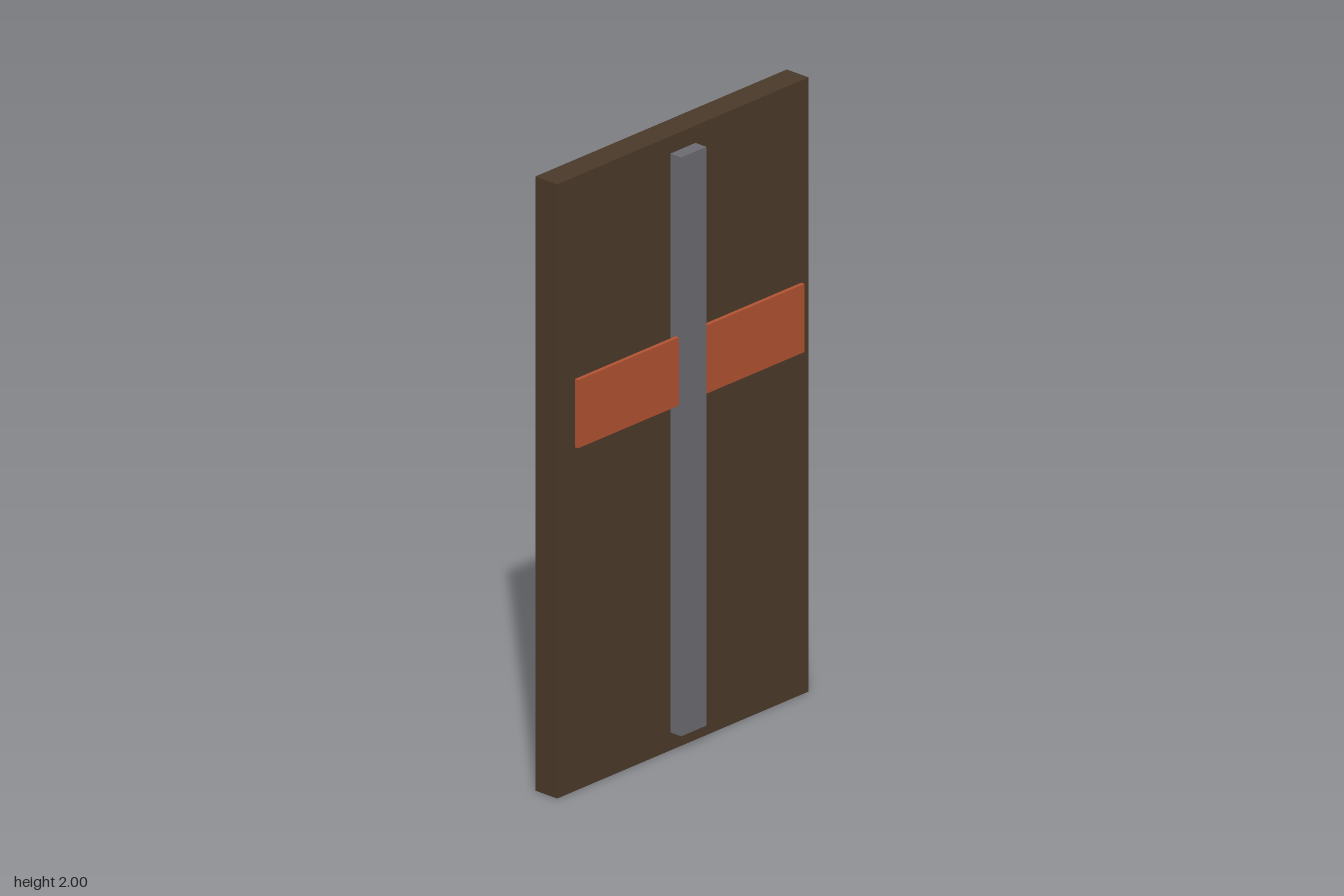
import * as THREE from 'three';

export function createModel() {
  const model = new THREE.Group();
  model.name = 'panelWithCross';

  const material = (name, color) => {
    const m = new THREE.MeshStandardMaterial({ color });
    m.name = name;
    return m;
  };
  const darkWood = material('dark wood', 0x4a3929);
  const greyMetal = material('grey metal', 0x6a6a70);
  const rustRed = material('rust red', 0xb05232);

  // Box given by its size and centre
  const addBox = (name, mat, [w, h, d], [x, y, z]) => {
    const mesh = new THREE.Mesh(new THREE.BoxGeometry(w, h, d), mat);
    mesh.name = name;
    mesh.position.set(x, y, z);
    model.add(mesh);
  };

  // Flat backing panel
  addBox('panel', darkWood, [1.111, 2, 0.089], [0, 1, -0.0222]);

  // Upright bar fixed to the front of the panel
  addBox('uprightBar', greyMetal, [0.111, 1.885, 0.0445], [0, 1.001, 0.0444]);

  // Thin crosspiece running through the bar, clear of the panel
  addBox('crosspiece', rustRed, [1, 0.222, 0.0133], [0, 1.244, 0.05]);

  return model;
}
